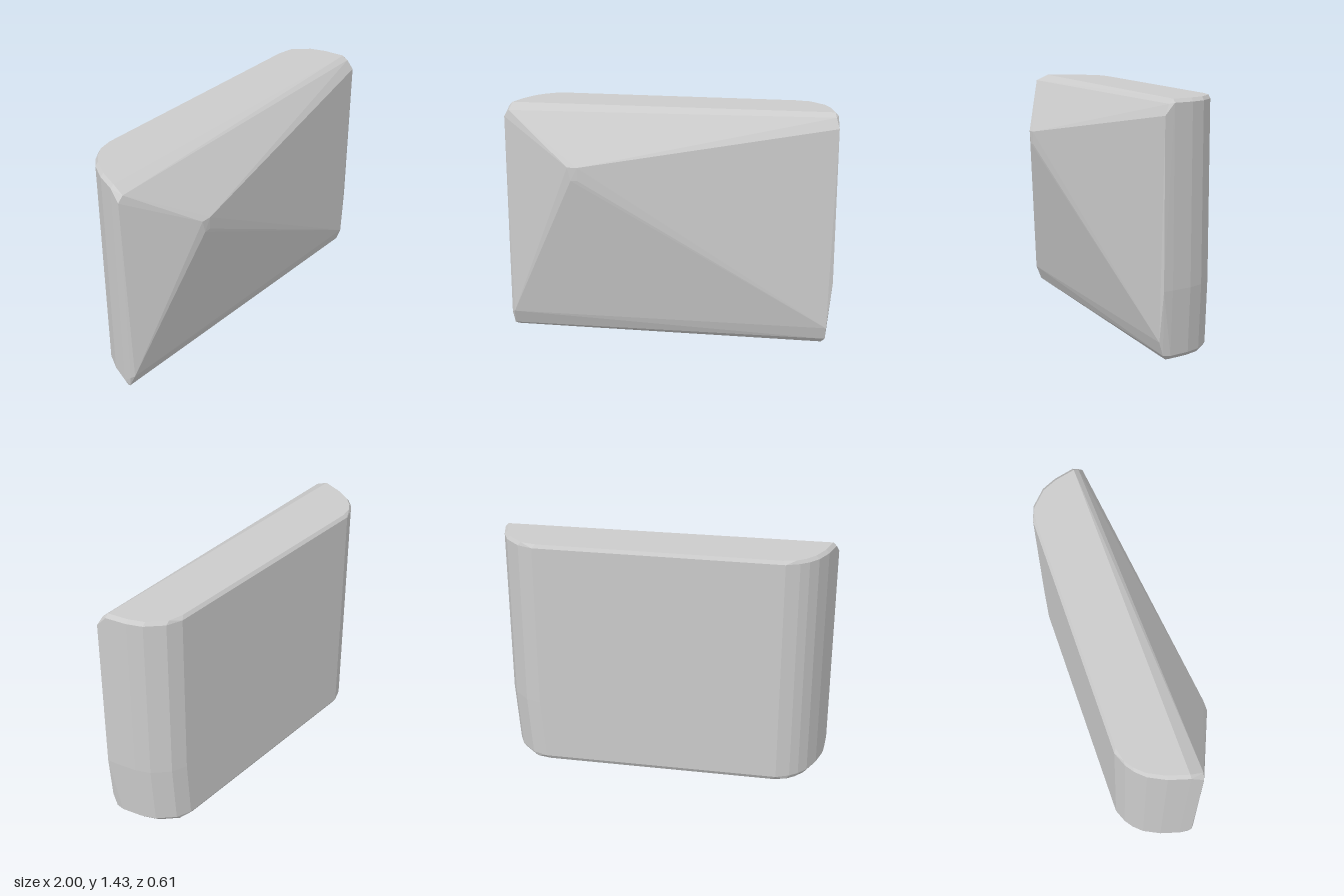
import * as THREE from 'three';
import { ConvexGeometry } from 'three/addons/geometries/ConvexGeometry.js';

export function createModel() {
  const group = new THREE.Group();
  const points = [];
  const add = (x, y, z) => points.push(new THREE.Vector3(x, y, z));

  // Rounded back outline (x, z), from the left-hand edge round to the other side
  const outline = [
    [-0.985, 0.04], [-0.95, -0.08], [-0.9, -0.18], [-0.85, -0.235], [-0.8, -0.27], [-0.72, -0.302],
    [0.74, -0.302], [0.83, -0.27], [0.92, -0.185], [0.96, -0.1], [0.99, 0.02],
  ];
  // Levels: height, inset of the bevel, inward taper of the +x end
  const levels = [[0, 0.02, 0.03], [0.025, 0, 0.025], [0.4, 0, 0], [1.415, 0, 0], [1.435, 0.02, 0]];
  for (const [y, inset, taper] of levels) {
    for (const [x, z] of outline) {
      const end = x > 0 ? taper : 0;
      add(x - Math.sign(x) * inset - end, y, Math.max(z, z < -0.2 ? -0.302 + inset * 0.7 : z));
    }
  }

  // Off-centre blunt peak on the front
  add(-0.57, 1.11, 0.303);
  add(-0.51, 1.11, 0.303);
  add(-0.55, 1.03, 0.303);
  add(-0.51, 1.03, 0.301);

  // Front side edges and the chamfered corners
  add(-1, 1.36, 0.11);
  add(-1, 0.1, 0.11);
  add(1, 1.35, 0.08);
  add(1, 0.4, 0.078);
  add(0.97, 0.11, 0.09);
  add(-0.98, 0.11, 0.128);
  add(-0.97, 1.4, 0.115);
  add(0.98, 1.41, 0.05);

  // Bottom front chamfer
  add(-0.99, 0.02, 0.09);
  add(0.965, 0.03, 0.065);
  add(-0.98, 0, 0.06);
  add(0.94, 0, 0.04);

  const body = new THREE.Mesh(
    new ConvexGeometry(points),
    new THREE.MeshStandardMaterial({ color: 0xcccccc, flatShading: true })
  );
  body.name = 'facetedBlock';
  group.add(body);
  return group;
}
